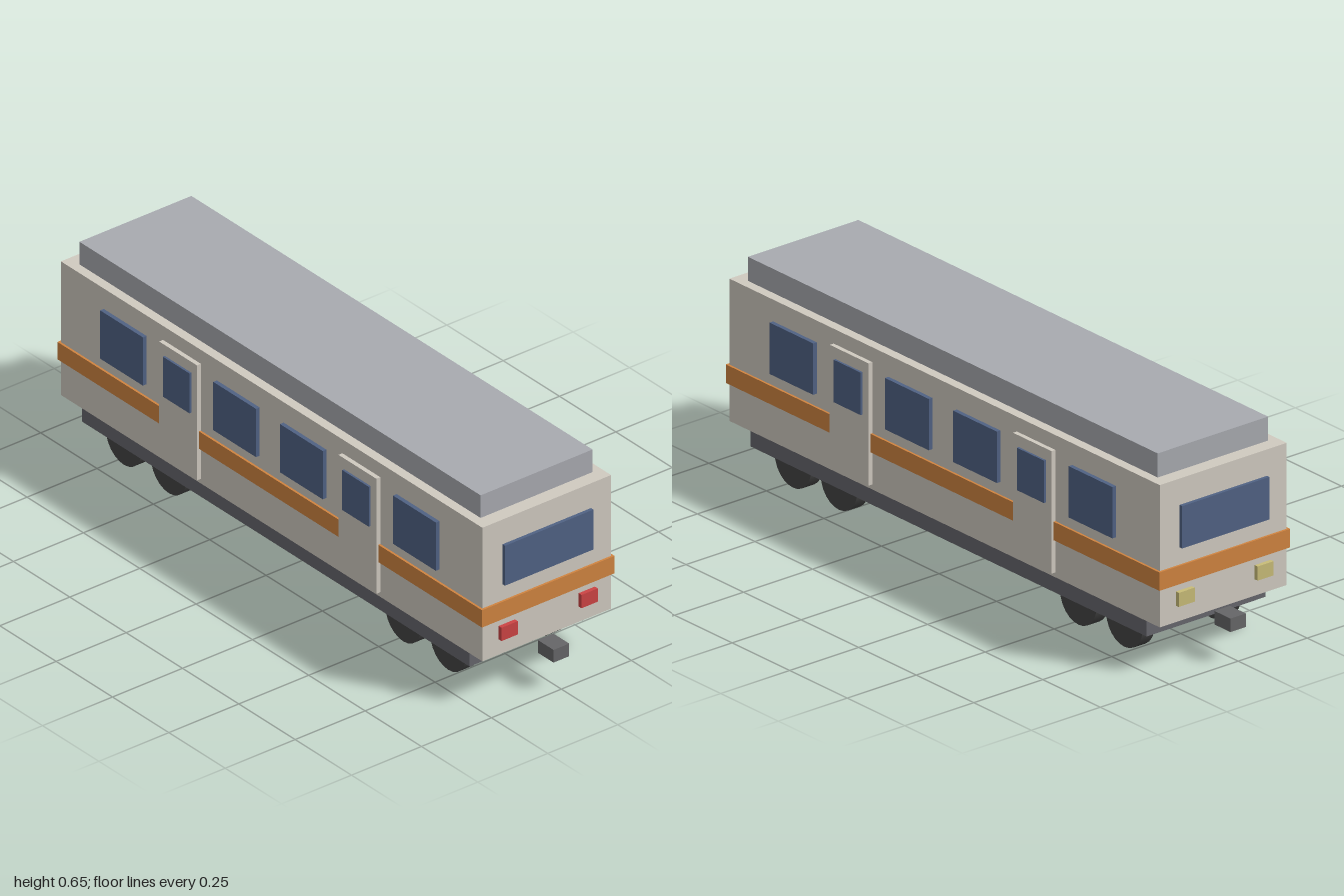
import * as THREE from 'three';

const mat = (name, color) => new THREE.MeshStandardMaterial({ name, color });

export function createModel() {
  const body = mat('cream', 0xd0cac0);
  const roofGrey = mat('roof grey', 0xa8aab0);
  const chassisGrey = mat('chassis grey', 0x66666c);
  const stripe = mat('orange', 0xd08440);
  const glass = mat('blue glass', 0x506284);
  const red = mat('red', 0xcc4444);
  const yellow = mat('pale yellow', 0xc8bc78);
  const rubber = mat('wheel grey', 0x444444);
  const steel = mat('coupler grey', 0x666668);

  const model = new THREE.Group();
  model.name = 'railcar';

  // Box given by its minimum and maximum on each axis
  const box = (name, material, [x0, x1], [y0, y1], [z0, z1]) => {
    const mesh = new THREE.Mesh(new THREE.BoxGeometry(x1 - x0, y1 - y0, z1 - z0), material);
    mesh.position.set((x0 + x1) / 2, (y0 + y1) / 2, (z0 + z1) / 2);
    mesh.name = name;
    model.add(mesh);
  };
  const span = (c, w) => [c - w / 2, c + w / 2];
  const side = (s, a, b) => (s > 0 ? [a, b] : [-b, -a]);

  // Hull
  box('body', body, [-0.23, 0.23], [0.145, 0.577], [-0.935, 0.935]);
  box('roof', roofGrey, [-0.2, 0.2], [0.577, 0.65], [-0.89, 0.89]);
  box('chassis', chassisGrey, [-0.215, 0.215], [0.088, 0.145], [-0.86, 0.86]);
  box('stripe', stripe, [-0.237, 0.237], [0.26, 0.316], [-0.942, 0.942]);

  // Side windows, doors and wheels
  const wheelGeometry = new THREE.CylinderGeometry(0.079, 0.079, 0.044, 24).rotateZ(Math.PI / 2);
  for (const s of [1, -1]) {
    for (const z of [-0.65, -0.148, 0.148, 0.65])
      box('sideWindow', glass, side(s, 0.23, 0.243), [0.355, 0.511], span(z, 0.19));
    for (const z of [-0.398, 0.398]) {
      box('door', body, side(s, 0.23, 0.244), [0.16, 0.532], span(z, 0.168));
      box('doorWindow', glass, side(s, 0.244, 0.251), [0.368, 0.497], span(z, 0.118));
    }
    for (const z of [-0.72, -0.52, 0.52, 0.72]) {
      const wheel = new THREE.Mesh(wheelGeometry, rubber);
      wheel.position.set(s * 0.157, 0.079, z);
      wheel.name = 'wheel';
      model.add(wheel);
    }
  }

  // Both ends: windscreen, lamps and coupler
  for (const e of [1, -1]) {
    box('endWindow', glass, [-0.158, 0.158], [0.368, 0.497], side(e, 0.935, 0.946));
    for (const x of [-0.143, 0.143])
      box(e > 0 ? 'redLamp' : 'yellowLamp', e > 0 ? red : yellow,
        span(x, 0.058), [0.195, 0.238], side(e, 0.935, 0.948));
    box('coupler', steel, [-0.028, 0.028], [0.096, 0.137], side(e, 0.93, 1));
  }
  return model;
}
